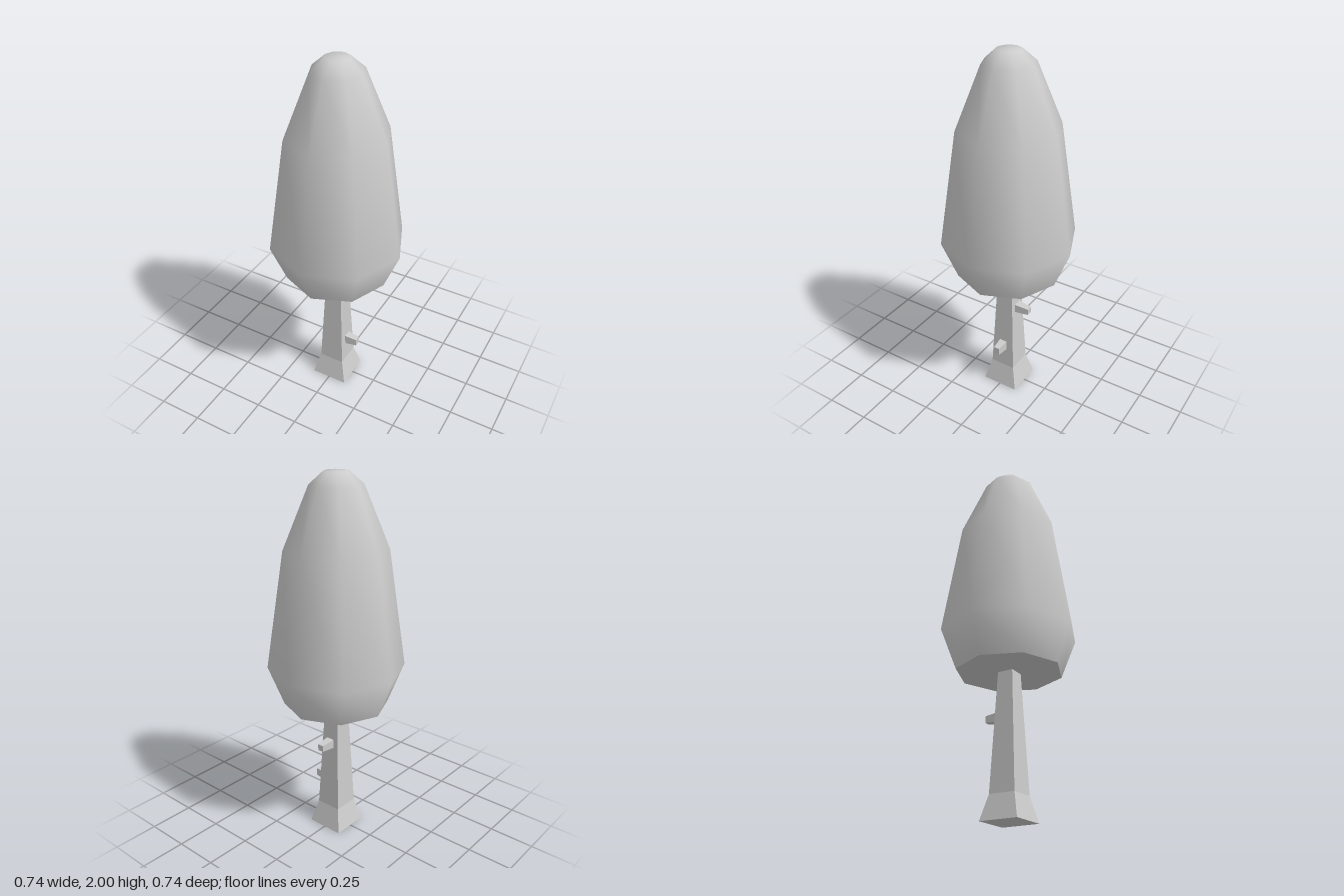
import * as THREE from 'three';

const grey = new THREE.MeshStandardMaterial({ color: 0xcccccc });
grey.name = 'light grey';

// Square tapered prism along y with flat faces; half-widths at bottom and top
function taperedPrism(bottom, top, y0, y1, openEnded = false) {
  const g = new THREE.CylinderGeometry(top * Math.SQRT2, bottom * Math.SQRT2, y1 - y0, 4, 1, openEnded);
  g.rotateY(Math.PI / 4);
  g.translate(0, (y0 + y1) / 2, 0);
  const flat = g.toNonIndexed();
  flat.computeVertexNormals();
  return flat;
}

function addMesh(parent, name, geometry) {
  const mesh = new THREE.Mesh(geometry, grey);
  mesh.name = name;
  parent.add(mesh);
  return mesh;
}

export function createModel() {
  const tree = new THREE.Group();
  tree.name = 'tree';

  // Crown: smooth eight-sided lathe with a flat underside
  const profile = [[0.285, 0.765], [0.37, 0.98], [0.273, 1.61], [0.138, 1.935], [0.065, 2], [0, 2]]
    .map(([r, y]) => new THREE.Vector2(r, y));
  const crown = new THREE.Group();
  crown.name = 'crown';
  tree.add(crown);
  addMesh(crown, 'foliage', new THREE.LatheGeometry(profile, 8));
  const underside = addMesh(crown, 'foliageUnderside', new THREE.CircleGeometry(0.285, 8));
  underside.rotation.x = Math.PI / 2;
  underside.position.y = 0.765;

  // Trunk: flared foot and slim shaft
  const trunk = new THREE.Group();
  trunk.name = 'trunk';
  tree.add(trunk);
  addMesh(trunk, 'trunkFoot', taperedPrism(0.105, 0.072, 0, 0.13));
  addMesh(trunk, 'trunkShaft', taperedPrism(0.072, 0.042, 0.13, 0.79, true));

  // Cut branch stubs, tapering outwards
  const stub = (name, y, height) => {
    const g = taperedPrism(0.026, 0.017, 0.03, 0.135);
    g.rotateZ(-Math.PI / 2);
    g.scale(1, height / 0.052, 1);
    const mesh = addMesh(tree, name, g);
    mesh.position.y = y;
    return mesh;
  };
  stub('lowerBranchStub', 0.273, 0.064);
  stub('upperBranchStub', 0.53, 0.054).rotation.y = Math.PI / 2;

  return tree;
}
